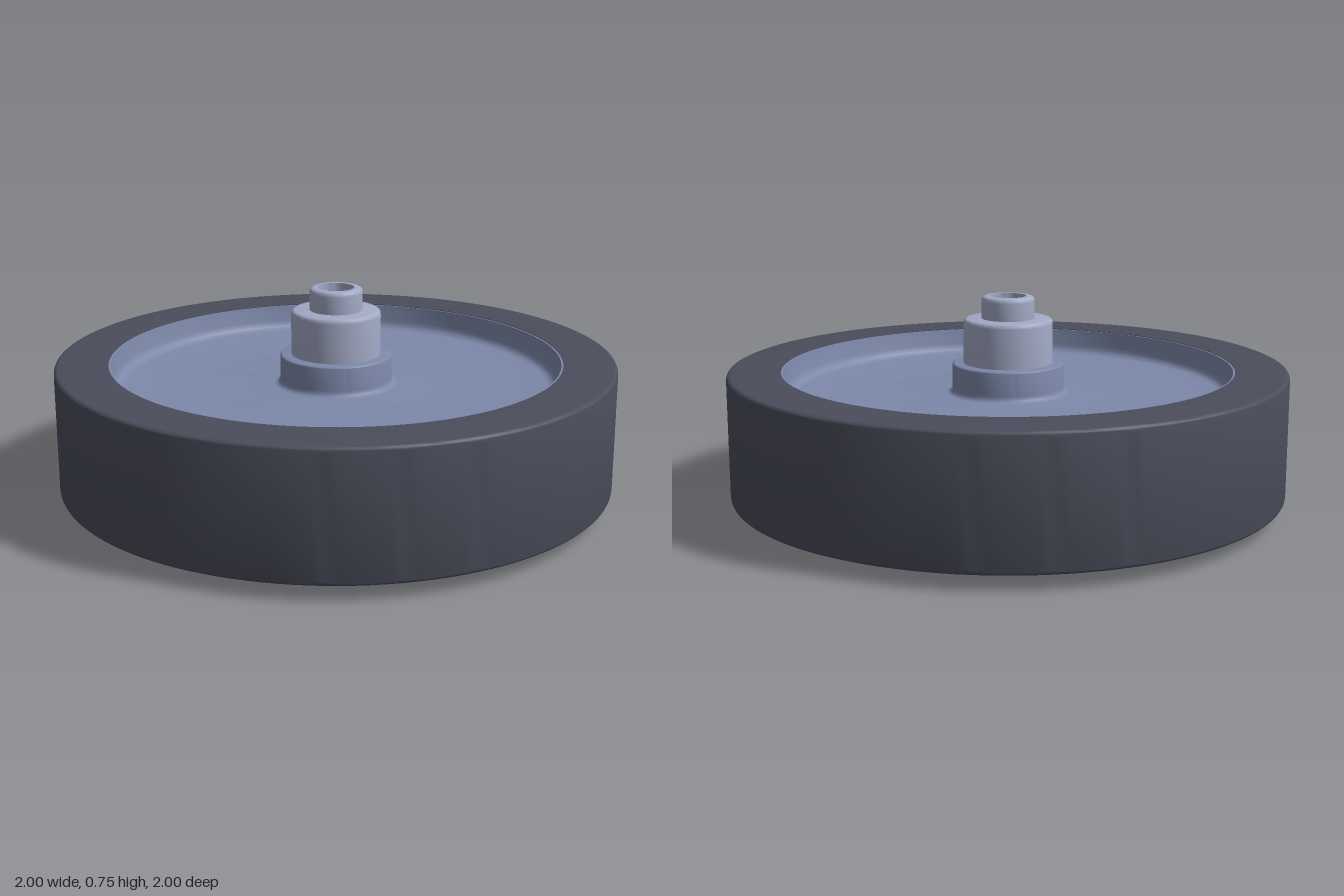
import * as THREE from 'three';
import { toCreasedNormals } from 'three/addons/utils/BufferGeometryUtils.js';

// Turns [radius, height, rounding] corners into a profile with rounded corners.
function roundedProfile(corners) {
  const points = [];
  corners.forEach(([r, y, round = 0], i) => {
    const corner = new THREE.Vector2(r, y);
    if (!round) {
      points.push(corner);
      return;
    }
    const toward = ([nr, ny]) =>
      new THREE.Vector2(nr, ny).sub(corner).setLength(round).add(corner);
    const curve = new THREE.QuadraticBezierCurve(
      toward(corners[i - 1]), corner, toward(corners[i + 1]));
    points.push(...curve.getPoints(5));
  });
  return points;
}

function turnedPart(name, material, corners, segments) {
  const lathe = new THREE.LatheGeometry(roundedProfile(corners), segments);
  const mesh = new THREE.Mesh(toCreasedNormals(lathe, 0.6), material);
  mesh.name = name;
  return mesh;
}

function flatColour(name, color) {
  const material = new THREE.MeshStandardMaterial({ color });
  material.name = name;
  return material;
}

export function createModel() {
  const rubber = flatColour('dark rubber', 0x4b4d5b);
  const rimBlue = flatColour('blue grey rim', 0x7d89aa);
  const steel = flatColour('pale steel', 0xa3aac6);

  const wheel = new THREE.Group();
  wheel.name = 'wheel';

  // Tyre: a square-shouldered ring
  wheel.add(turnedPart('tyre', rubber, [
    [0.81, 0.05], [1, 0.05, 0.018], [1, 0.5, 0.018], [0.81, 0.5], [0.81, 0.05],
  ], 128));

  // Rim: recessed web on both sides, with a central boss above and below
  wheel.add(turnedPart('rim', rimBlue, [
    [0, 0.02], [0.16, 0.02], [0.16, 0.145, 0.04], [0.79, 0.145, 0.04],
    [0.803, 0.052], [0.812, 0.052], [0.812, 0.498], [0.803, 0.498],
    [0.79, 0.405, 0.035], [0.2, 0.405, 0.025], [0.2, 0.515, 0.01], [0, 0.515],
  ], 128));

  // Bushing: collar standing on the upper boss
  wheel.add(turnedPart('bushing', steel, [
    [0, 0.51], [0.16, 0.51], [0.16, 0.675, 0.018], [0, 0.675],
  ], 64));

  // Axle tip: short tube with a blind bore
  wheel.add(turnedPart('axleTip', steel, [
    [0, 0.67], [0.095, 0.67], [0.095, 0.755, 0.018], [0.065, 0.755],
    [0.065, 0.68], [0, 0.68],
  ], 48));

  // Axle end: thin disc under the lower boss
  wheel.add(turnedPart('axleEnd', steel, [
    [0, 0], [0.088, 0], [0.088, 0.025], [0, 0.025],
  ], 48));

  return wheel;
}
